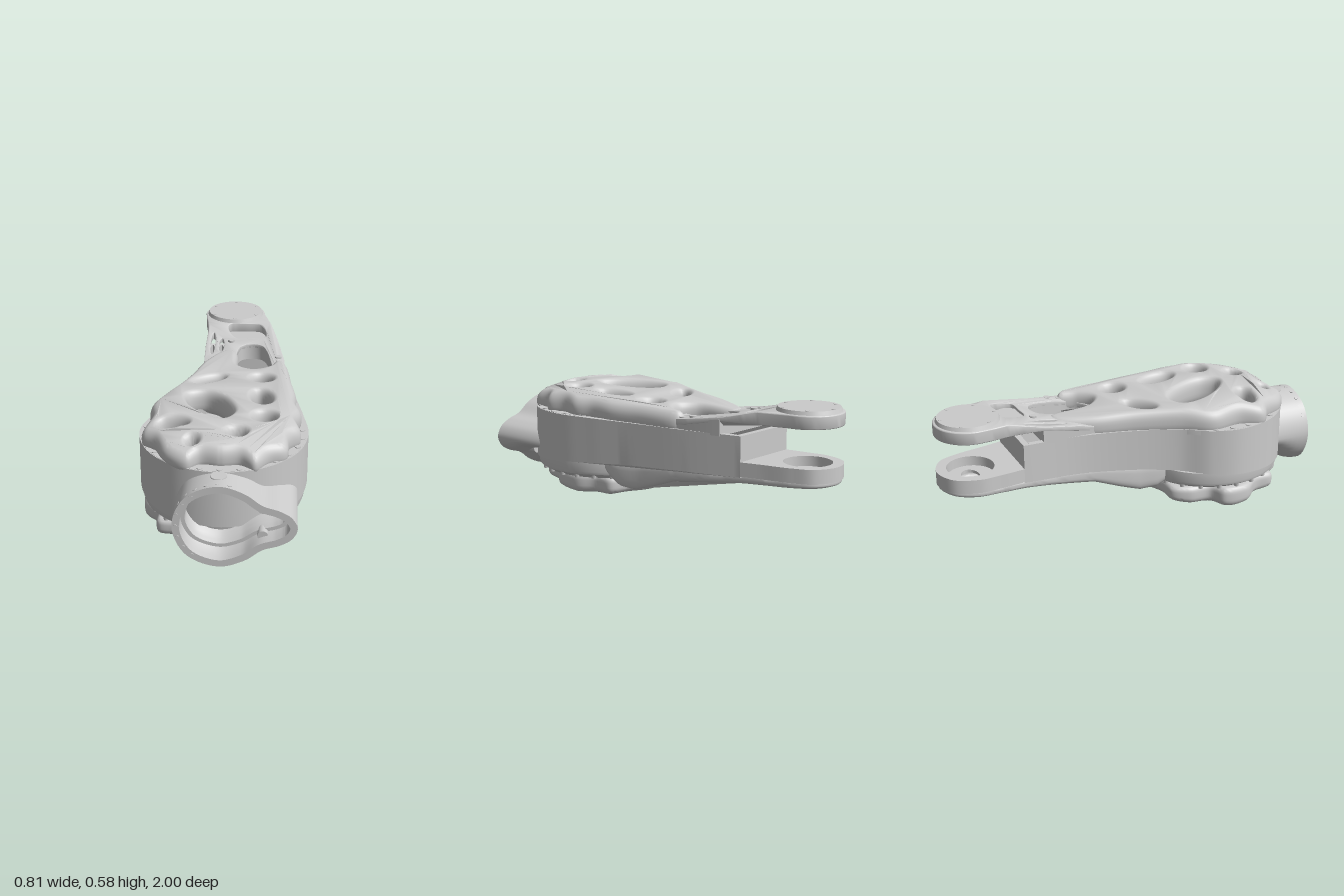
import * as THREE from 'three';
import { toCreasedNormals } from 'three/addons/utils/BufferGeometryUtils.js';

const grey = new THREE.MeshStandardMaterial({ color: 0xcccccc, side: THREE.DoubleSide });

function add(group, name, geometry, x = 0, y = 0, z = 0) {
  const mesh = new THREE.Mesh(geometry, grey);
  mesh.name = name;
  mesh.position.set(x, y, z);
  group.add(mesh);
}

// Smooth outline through a few points
function spline(points, closed = true, n = 140) {
  const curve = new THREE.CatmullRomCurve3(points.map(([x, y]) => new THREE.Vector3(x, y, 0)), closed);
  const out = curve.getPoints(n).map(p => [p.x, p.y]);
  if (closed) out.pop();
  return out;
}

function oval(x, y, rx, ry = rx, turn = 0, n = 28) {
  return Array.from({ length: n }, (_, i) => {
    const a = i / n * Math.PI * 2, u = rx * Math.cos(a), v = ry * Math.sin(a);
    return [x + u * Math.cos(turn) - v * Math.sin(turn), y + u * Math.sin(turn) + v * Math.cos(turn)];
  });
}

// Move an outline inwards
function inset(points, d) {
  const area = THREE.ShapeUtils.area(points.map(([x, y]) => ({ x, y })));
  return points.map(([x, y], i) => {
    const a = points.at(i - 1), b = points[(i + 1) % points.length];
    const dx = b[0] - a[0], dy = b[1] - a[1], k = Math.sign(area) * d / Math.hypot(dx, dy);
    return [x - dy * k, y + dx * k];
  });
}

// Piecewise linear height along the arm, rows of [z, y] with z rising
function ramp(...rows) {
  return z => {
    if (z <= rows[0][0]) return rows[0][1];
    for (let i = 1; i < rows.length; i++) {
      const [z0, y0] = rows[i - 1], [z1, y1] = rows[i];
      if (z <= z1) return y0 + (y1 - y0) * (z - z0) / (z1 - z0);
    }
    return rows.at(-1)[1];
  };
}

function makeShape(outline, holes, flip) {
  const v = pts => pts.map(([x, y]) => new THREE.Vector2(x, flip * y));
  const shape = new THREE.Shape(v(outline));
  for (const hole of holes) shape.holes.push(new THREE.Path(v(hole)));
  return shape;
}

// Horizontal plate from a plan outline (x, z), between two heights that may vary with z and x
function plate(outline, holes, bottom, top, bevel = 0, round = 0.2) {
  const low = typeof bottom === 'function' ? bottom : () => bottom;
  const high = typeof top === 'function' ? top : () => top;
  const geo = new THREE.ExtrudeGeometry(makeShape(outline, holes, -1), {
    depth: bevel ? 1 - 2 * round : 1, bevelEnabled: bevel > 0, bevelSize: bevel,
    bevelOffset: -bevel, bevelThickness: round, bevelSegments: 5,
  });
  if (bevel) geo.translate(0, 0, round);
  geo.rotateX(-Math.PI / 2);
  const p = geo.attributes.position;
  for (let i = 0; i < p.count; i++) {
    const x = p.getX(i), z = p.getZ(i), t = p.getY(i);
    p.setY(i, low(z, x) + (high(z, x) - low(z, x)) * t);
  }
  return toCreasedNormals(geo, 0.6);
}

const cylinder = (r0, r1, h, n = 48) => new THREE.CylinderGeometry(r0, r1, h, n);

function buildHousing(g) {
  const outline = spline([[-0.145, -0.6], [-0.15, -0.3], [-0.2, -0.05], [-0.28, 0.18], [-0.37, 0.32],
    [-0.403, 0.47], [-0.346, 0.67], [-0.2, 0.816], [0, 0.87], [0.2, 0.816], [0.346, 0.67], [0.403, 0.47],
    [0.38, 0.25], [0.345, 0.05], [0.29, -0.3], [0.225, -0.6]], false);
  const wallBottom = ramp([-0.6, 0.24], [-0.3, 0.235], [0, 0.225], [0.47, 0.19], [0.9, 0.155]);
  add(g, 'housingWall', plate(outline, [inset(outline, 0.03)], wallBottom, 0.44));
  const front = oval(0, 0.47, 0.395, 0.395, 0, 72);
  add(g, 'housingFlange', plate(front, [oval(0, 0.47, 0.28, 0.28, 0, 60)], 0.415, 0.441));
  // Flange bolts
  for (let i = 0; i < 17; i++) {
    const a = -0.35 + i / 16 * (Math.PI + 0.7);
    add(g, 'flangeBolt', cylinder(0.014, 0.014, 0.02, 8), 0.377 * Math.cos(a), 0.435, 0.47 + 0.377 * Math.sin(a));
  }
  // Drive unit seen through the cover openings
  add(g, 'driveFloor', cylinder(0.36, 0.36, 0.04), 0, 0.22, 0.47);
  add(g, 'driveBody', cylinder(0.2, 0.22, 0.16), 0, 0.31, 0.45);
  add(g, 'driveHub', cylinder(0.07, 0.07, 0.04, 32), 0, 0.405, 0.47);
  for (let i = 0; i < 10; i++) {
    const a = i / 10 * Math.PI * 2;
    add(g, 'driveBolt', cylinder(0.02, 0.02, 0.03, 12), 0.14 * Math.cos(a), 0.395, 0.45 + 0.14 * Math.sin(a));
  }
}

function buildTopCover(g) {
  const outline = spline([[-0.05, -0.41], [-0.14, -0.25], [-0.2, -0.03], [-0.28, 0.18], [-0.36, 0.33],
    [-0.345, 0.48], [-0.375, 0.61], [-0.31, 0.67], [-0.25, 0.78], [-0.15, 0.84], [-0.09, 0.8], [0, 0.81],
    [0.09, 0.8], [0.16, 0.84], [0.22, 0.775], [0.3, 0.73], [0.315, 0.63], [0.365, 0.57], [0.345, 0.47],
    [0.37, 0.37], [0.345, 0.27], [0.345, 0.14], [0.325, 0], [0.285, -0.25], [0.24, -0.27], [0.2, -0.18],
    [0.12, -0.13], [0.045, -0.19], [0.02, -0.41]], true, 220);
  const holes = [
    oval(-0.095, 0.04, 0.085, 0.035, -0.6), oval(0.17, 0.01, 0.052), oval(0.175, 0.27, 0.045, 0.09, -0.15),
    oval(0.195, 0.51, 0.05), oval(-0.23, 0.58, 0.065, 0.04, 0.2), oval(0.07, 0.67, 0.04, 0.033),
    oval(-0.13, 0.735, 0.022),
    spline([[-0.18, 0.25], [-0.1, 0.22], [-0.02, 0.28], [0.04, 0.46], [0, 0.53], [-0.07, 0.5], [-0.17, 0.36]], true, 40),
  ];
  const crest = ramp([-0.4, 0.512], [-0.1, 0.53], [0.2, 0.545], [0.5, 0.562], [0.7, 0.557], [0.86, 0.55]);
  // The rim falls away from the crest
  const top = (z, x) => crest(z) - 0.35 * Math.max(0, Math.hypot(x, Math.max(0, z - 0.45)) - 0.27);
  add(g, 'topCover', plate(outline, holes, 0.41, top, 0.032, 0.42));
}

function buildUpperArm(g) {
  const end = Array.from({ length: 25 }, (_, i) => {
    const a = i / 24 * Math.PI;
    return [0.168 * Math.cos(a), -0.83 - 0.17 * Math.sin(a)];
  });
  const right = spline([[0.285, -0.3], [0.245, -0.52], [0.2, -0.7]], false, 20);
  const left = spline([[-0.162, -0.76], [-0.145, -0.63], [-0.148, -0.45], [-0.145, -0.25]], false, 20);
  const slot = spline([[0.04, -0.44], [0.09, -0.475], [0.16, -0.46], [0.21, -0.3], [0.215, -0.2], [0.12, -0.14], [0.04, -0.19]], true, 40);
  const pocket = spline([[-0.03, -0.66], [0.07, -0.672], [0.15, -0.66], [0.178, -0.55], [0.1, -0.538], [0.01, -0.54]], true, 40);
  const thinSlots = [oval(-0.11, -0.47, 0.013, 0.11), oval(-0.062, -0.46, 0.015, 0.07)];
  const top = ramp([-0.68, 0.565], [-0.5, 0.522], [-0.3, 0.495], [-0.2, 0.47]);
  add(g, 'upperArm', plate([[0.28, -0.1], ...right, ...end, ...left, [-0.16, -0.1]],
    [slot, pocket, ...thinSlots], ramp([-0.5, 0.5], [-0.3, 0.465], [-0.1, 0.43]), top, 0.006, 0.1));
  // Block that seats the arm on the housing
  const seat = [[0.28, -0.1], [0.283, -0.3], [0.252, -0.495], [-0.145, -0.495], [-0.145, -0.25], [-0.16, -0.1]];
  add(g, 'armSeat', plate(seat, [slot, oval(-0.11, -0.42, 0.013, 0.06), oval(-0.062, -0.43, 0.015, 0.05)],
    0.43, ramp([-0.495, 0.51], [-0.3, 0.48], [-0.1, 0.45])));
  add(g, 'pocketFloor', plate(oval(0.07, -0.605, 0.115, 0.09), [], 0.502, 0.515));
  add(g, 'endCap', cylinder(0.15, 0.158, 0.022), 0, 0.572, -0.83);
  add(g, 'endSocket', new THREE.TorusGeometry(0.11, 0.012, 8, 40).rotateX(Math.PI / 2), 0, 0.502, -0.83);
  for (let i = 0; i < 6; i++) {
    const a = (i + 0.5) / 6 * Math.PI * 2;
    add(g, 'capBolt', cylinder(0.01, 0.01, 0.008, 8), 0.135 * Math.cos(a), 0.581, -0.83 + 0.135 * Math.sin(a));
  }
  for (const [x, z] of [[-0.01, -0.5], [0.25, -0.33], [0.255, -0.27]])
    add(g, 'armBolt', cylinder(0.018, 0.018, 0.02, 10), x, top(z), z);
}

function buildLowerArm(g) {
  // Fork tongue with a bearing pocket
  const tongue = spline([[0.225, -0.6], [0.2, -0.7], [0.166, -0.85], [0.12, -0.95], [0, -1], [-0.12, -0.95],
    [-0.168, -0.83], [-0.16, -0.72], [-0.145, -0.6]], false, 70);
  add(g, 'lowerFork', plate(tongue, [oval(0, -0.83, 0.118, 0.118, 0, 40)], 0.245, 0.315));
  add(g, 'lowerForkFloor', plate(oval(0, -0.83, 0.13, 0.13, 0, 40), [oval(0, -0.83, 0.07, 0.045)], 0.25, 0.265));

  // Ribbed underside with lightening holes
  const under = spline([[-0.2, 0.2], [-0.185, 0], [-0.15, -0.25], [-0.14, -0.5], [-0.155, -0.72], [-0.16, -0.85],
    [-0.11, -0.95], [0, -0.993], [0.11, -0.95], [0.16, -0.85], [0.19, -0.7], [0.22, -0.55], [0.275, -0.3],
    [0.31, -0.05], [0.32, 0.2], [0.1, 0.3], [-0.1, 0.3]], true, 160);
  const holes = [
    oval(0.17, 0.03, 0.065, 0.09), oval(-0.03, -0.07, 0.035, 0.045), oval(-0.08, -0.2, 0.022, 0.04),
    oval(-0.05, -0.33, 0.025, 0.035), oval(0.03, -0.56, 0.03), oval(-0.07, -0.47, 0.02, 0.06),
    oval(0.13, -0.59, 0.03, 0.05), oval(0, -0.81, 0.095, 0.11),
    spline([[0.04, -0.42], [0.1, -0.46], [0.16, -0.43], [0.2, -0.28], [0.2, -0.18], [0.12, -0.14], [0.05, -0.19]], true, 40),
  ];
  const bottom = ramp([-1, 0.222], [-0.6, 0.207], [-0.23, 0.17], [-0.1, 0.125], [0.01, 0.092], [0.1, 0.1], [0.2, 0.16]);
  const top = ramp([-1, 0.257], [-0.6, 0.255], [-0.2, 0.25], [0.3, 0.22]);
  add(g, 'underside', plate(under, holes, bottom, top, 0.02, 0.35));
}

function buildBottomCover(g) {
  // Stepped drive ring
  const profile = [[0, 0.085], [0.27, 0.085], [0.27, 0.107], [0.35, 0.107], [0.385, 0.13], [0.39, 0.145], [0.39, 0.2], [0, 0.2]];
  const ring = new THREE.LatheGeometry(profile.map(([r, y]) => new THREE.Vector2(r, y)), 72);
  add(g, 'driveRing', toCreasedNormals(ring, 0.4), 0, 0, 0.47);
  for (let i = 0; i < 24; i++) {
    const a = i / 24 * Math.PI * 2;
    add(g, 'ringBolt', cylinder(0.016, 0.012, 0.03, 8), 0.364 * Math.cos(a), 0.122, 0.47 + 0.364 * Math.sin(a));
  }
  // Lobed cover with an oval recess
  const outline = spline([[-0.29, 0.24], [-0.24, 0.16], [-0.13, 0.15], [-0.03, 0.095], [0.1, 0.11], [0.17, 0.19],
    [0.25, 0.24], [0.25, 0.35], [0.29, 0.45], [0.27, 0.6], [0.22, 0.66], [0.2, 0.76], [0.08, 0.82], [-0.04, 0.87],
    [-0.15, 0.83], [-0.2, 0.75], [-0.3, 0.72], [-0.31, 0.62], [-0.38, 0.53], [-0.375, 0.4], [-0.3, 0.35]], true, 160);
  const holes = [oval(0, 0.46, 0.14, 0.2, 0, 40), oval(-0.27, 0.5, 0.025, 0.06), oval(0.09, 0.19, 0.025),
    oval(-0.14, 0.232, 0.03, 0.02), oval(0.21, 0.5, 0.012, 0.05), oval(-0.1, 0.753, 0.035, 0.015),
    oval(0.09, 0.73, 0.025, 0.02)];
  const bottom = ramp([0.1, 0.035], [0.25, 0.012], [0.45, 0], [0.65, 0.012], [0.87, 0.045]);
  add(g, 'bottomCover', plate(outline, holes, bottom, 0.105, 0.025, 0.35));
  add(g, 'recessFloor', plate(oval(0, 0.46, 0.155, 0.215, 0, 40), [], 0.045, 0.075));
}

function buildNeck(g) {
  // Pear-shaped sleeve, flattened from below as it runs back into the housing
  const half = [[-0.205, 0], [-0.145, 0.145], [0, 0.205], [0.12, 0.17], [0.2, 0.113], [0.275, 0.088], [0.33, 0.054], [0.355, 0]];
  const pear = spline([...half, ...half.slice(1, -1).reverse().map(([x, y]) => [x, -y])], true, 90);
  const squash = ramp([0.7, 0.33], [0.83, 0.5], [0.89, 0.78], [0.95, 0.97], [1, 1]);
  const sleeve = (outer, inner, z0, z1) => {
    const geo = new THREE.ExtrudeGeometry(makeShape(outer, inner ? [inner] : [], 1),
      { depth: z1 - z0, steps: 12, bevelEnabled: false }).translate(0, 0, z0);
    const p = geo.attributes.position;
    for (let i = 0; i < p.count; i++) {
      const y = p.getY(i);
      p.setY(i, 0.235 + (y < 0 ? y * squash(p.getZ(i)) : y));
    }
    return toCreasedNormals(geo, 0.6);
  };
  add(g, 'neckSleeve', sleeve(pear, inset(pear, 0.033), 0.62, 1));
  add(g, 'neckLip', sleeve(inset(pear, 0.03), inset(pear, 0.052), 0.8, 0.92));
  add(g, 'neckBackPlate', sleeve(inset(pear, 0.025), null, 0.8, 0.82));
  // Rim and side bolts
  for (let i = 0; i < 7; i++) {
    const a = Math.PI + (i - 3) * 0.3, x = 0.188 * Math.cos(a), y = 0.235 + 0.188 * Math.sin(a);
    add(g, 'rimBolt', cylinder(0.01, 0.01, 0.012, 6).rotateX(Math.PI / 2), x, y, 0.997);
  }
  for (let i = 0; i < 6; i++) {
    const a = Math.PI / 2 + (i - 1) * 0.26, bolt = cylinder(0.01, 0.01, 0.012, 8).rotateZ(a - Math.PI / 2);
    add(g, 'sleeveBolt', bolt, 0.2 * Math.cos(a), 0.235 + 0.2 * Math.sin(a), 0.975);
  }
  for (const s of [-1, 1])
    add(g, 'neckBoss', cylinder(0.025, 0.025, 0.1, 16).rotateX(Math.PI / 2), 0.2, 0.235 + s * 0.07, 0.9);
  add(g, 'topBoss', cylinder(0.037, 0.037, 0.04, 24), 0, 0.421, 0.9);
}

export function createModel() {
  const model = new THREE.Group();
  model.name = 'robotArmLink';
  const parts = { housing: buildHousing, topCoverPart: buildTopCover, upperFork: buildUpperArm,
    lowerForkPart: buildLowerArm, bottomCoverPart: buildBottomCover, neck: buildNeck };
  for (const [name, build] of Object.entries(parts)) {
    const group = new THREE.Group();
    group.name = name;
    build(group);
    model.add(group);
  }
  return model;
}
